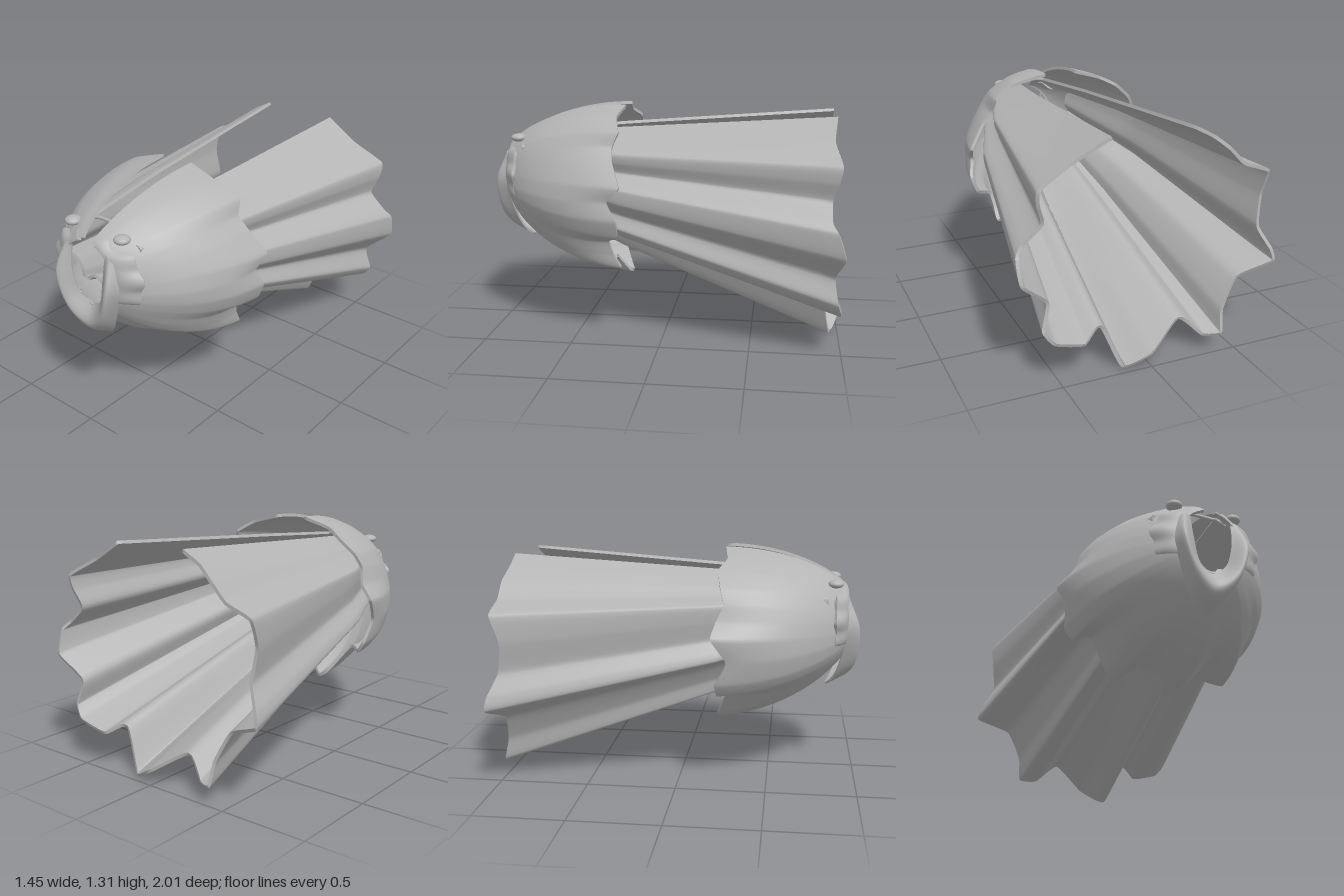
import * as THREE from 'three';
import { mergeGeometries } from 'three/addons/utils/BufferGeometryUtils.js';

const V = (x, y, z) => new THREE.Vector3(x, y, z);
const lerp = THREE.MathUtils.lerp;

function makeGeometry(points, index) {
  const g = new THREE.BufferGeometry().setFromPoints(points);
  g.setIndex(index);
  g.computeVertexNormals();
  return g;
}

// Thick sheet of cloth from a surface P(u, v); u x v points to its outer face
function shell(P, nu, nv, thickness) {
  const outer = [], front = [], back = [];
  const id = (i, j) => i * (nv + 1) + j;
  for (let i = 0; i <= nu; i++)
    for (let j = 0; j <= nv; j++) outer.push(P(i / nu, j / nv));
  for (let i = 0; i < nu; i++)
    for (let j = 0; j < nv; j++) {
      const a = id(i, j), b = id(i + 1, j), c = id(i + 1, j + 1), d = id(i, j + 1);
      front.push(a, b, c, a, c, d);
      back.push(a, c, b, a, d, c);
    }
  const face = makeGeometry(outer, front);
  const n = face.attributes.normal;
  const inner = outer.map((p, k) =>
    p.clone().addScaledVector(V(n.getX(k), n.getY(k), n.getZ(k)), -thickness));

  // hem joining the two faces all the way round
  const loop = [];
  for (let i = 0; i < nu; i++) loop.push(id(i, 0));
  for (let j = 0; j < nv; j++) loop.push(id(nu, j));
  for (let i = nu; i > 0; i--) loop.push(id(i, nv));
  for (let j = nv; j > 0; j--) loop.push(id(0, j));
  const hem = [], hemIndex = [];
  loop.forEach((k, m) => {
    const q = (m + 1) % loop.length;
    hem.push(outer[k], inner[k]);
    hemIndex.push(2 * m + 1, 2 * q + 1, 2 * q, 2 * m + 1, 2 * q, 2 * m);
  });
  return mergeGeometries([face, makeGeometry(inner, back), makeGeometry(hem, hemIndex)]);
}

const curve = (pts, tension = 0.5) =>
  new THREE.CatmullRomCurve3(pts.map(p => V(...p)), false, 'catmullrom', tension);

// Scalloped hems, from the left side of the opening round to the right side
const capeHem = curve([
  [0.23, 1.28, -0.95], [0.43, 1.17, -0.93], [0.61, 1.07, -0.965],
  [0.61, 0.98, -0.95], [0.58, 0.88, -0.92], [0.68, 0.79, -0.92], [0.72, 0.74, -0.95],
  [0.71, 0.6, -0.99], [0.57, 0.47, -0.95], [0.6, 0.33, -0.97], [0.54, 0.25, -0.99],
  [0.37, 0.2, -0.97], [0.26, 0.25, -0.91], [0.15, 0.01, -0.95], [0, 0.08, -1],
  [-0.2, 0.2, -0.91], [-0.32, 0.1, -0.96], [-0.42, 0.11, -1], [-0.44, 0.24, -0.97],
  [-0.53, 0.4, -0.95], [-0.72, 0.48, -1], [-0.71, 0.56, -0.99], [-0.65, 0.68, -0.94],
  [-0.67, 0.85, -0.92], [-0.67, 1, -0.97], [-0.52, 1.06, -0.97], [-0.43, 1.15, -0.97],
  [-0.34, 1.22, -0.95], [-0.23, 1.28, -0.95],
], 0.25);

const mantleHem = curve([
  [0.1, 1.32, 0.24], [0.3, 1.27, 0.26], [0.42, 1.2, 0.23], [0.44, 1.12, 0.26],
  [0.5, 1.05, 0.25], [0.59, 0.92, 0.2], [0.57, 0.84, 0.27], [0.59, 0.74, 0.22],
  [0.55, 0.64, 0.22], [0.46, 0.6, 0.28], [0.44, 0.52, 0.26], [0.43, 0.44, 0.22],
  [0.3, 0.42, 0.27], [0.2, 0.44, 0.28], [0.13, 0.34, 0.22], [0.05, 0.32, 0.21],
  [-0.13, 0.42, 0.28], [-0.23, 0.36, 0.22], [-0.3, 0.4, 0.22], [-0.42, 0.56, 0.28],
  [-0.5, 0.55, 0.23], [-0.55, 0.62, 0.22], [-0.57, 0.75, 0.28], [-0.6, 0.88, 0.2],
  [-0.53, 0.96, 0.22], [-0.5, 1.05, 0.26], [-0.46, 1.13, 0.24], [-0.36, 1.22, 0.22],
  [-0.26, 1.27, 0.26], [-0.1, 1.32, 0.24],
], 0.25);

// Long cape: the folded hem shrinks in two stages toward the neck
function cape(u, v) {
  const p = capeHem.getPoint(u);
  const mid = V(p.x * 0.7, 0.464 + 0.575 * p.y, 0.22);
  if (v > 0.35) return mid.lerp(p, (v - 0.35) / 0.65);
  return V(p.x * 0.42, 0.735 + 0.33 * p.y, 0.82).lerp(mid, v / 0.35);
}

// Short shoulder mantle: domed from the oval neck, its folds deepening to the hem
function mantle(u, v) {
  const w = Math.min(0.035, u, 1 - u);
  const soft = mantleHem.getPoint(u - w).add(mantleHem.getPoint(u + w)).multiplyScalar(0.5);
  const p = mantleHem.getPoint(u).lerp(soft, 0.7 * (1 - v ** 3));
  const dx = p.x / 0.58, dy = (p.y - 0.87) / 0.45, len = Math.hypot(dx, dy);
  const a = v * Math.PI / 2, g = Math.sin(a) ** 1.6;
  return V(
    lerp(0.2 * dx / len, p.x, g),
    lerp(0.87 + (dy > 0 ? 0.23 : 0.15) * dy / len, p.y, g),
    lerp(0.93, p.z, 1 - Math.cos(a)));
}

// Scooped bib under the chin: three U-shaped lines from its inner to outer edge
const uLine = half => curve([...half, ...half.slice(0, -1).reverse().map(([x, y, z]) => [-x, y, z])]);
const bibLines = [
  uLine([[0.12, 1.06, 0.93], [0.11, 0.9, 0.95], [0.075, 0.77, 0.94], [0, 0.735, 0.92]]),
  uLine([[0.16, 1.04, 0.94], [0.18, 0.88, 1], [0.12, 0.7, 0.995], [0, 0.61, 0.97]]),
  uLine([[0.2, 1, 0.92], [0.205, 0.84, 0.93], [0.11, 0.6, 0.88], [0, 0.51, 0.83]]),
];
const bib = (u, v) =>
  new THREE.CatmullRomCurve3(bibLines.map(c => c.getPoint(u))).getPoint(v);

// Wavy ruffle on each side of the neck
const ruffle = side => (u, v) => {
  const t = side > 0 ? u : 1 - u;
  const a = lerp(1.25, -1.05, t);
  const wave = 0.012 * Math.cos(t * Math.PI * 8) * v;
  return V(
    side * Math.cos(a) * (lerp(0.17, 0.315, v) + wave),
    0.91 + Math.sin(a) * (lerp(0.18, 0.22, v) + wave),
    0.94 - 0.075 * v * v);
};

export function createModel() {
  const model = new THREE.Group();
  const cloth = new THREE.MeshStandardMaterial({ color: 0xb4b4b4 });
  cloth.name = 'grey cloth';
  const add = (name, geometry) => {
    const mesh = new THREE.Mesh(geometry, cloth);
    mesh.name = name;
    model.add(mesh);
    return mesh;
  };

  add('cape', shell(cape, 168, 20, 0.018));
  add('shoulderMantle', shell(mantle, 174, 20, 0.018));
  add('bib', shell(bib, 48, 14, 0.012));

  for (const [side, label] of [[1, 'left'], [-1, 'right']]) {
    add(label + 'CollarRuffle', shell(ruffle(side), 64, 6, 0.02));
    // oval button beside the opening
    const button = add(label + 'Button', new THREE.SphereGeometry(1, 20, 14));
    button.scale.set(0.044, 0.024, 0.044);
    button.position.set(side * 0.175, 1.128, 0.86);
  }

  // cord across the opening
  add('neckCord', new THREE.TubeGeometry(
    curve([[-0.15, 1.13, 0.82], [-0.07, 1.152, 0.795], [0, 1.156, 0.79], [0.07, 1.152, 0.795], [0.15, 1.13, 0.82]]),
    24, 0.01, 8));

  return model;
}
